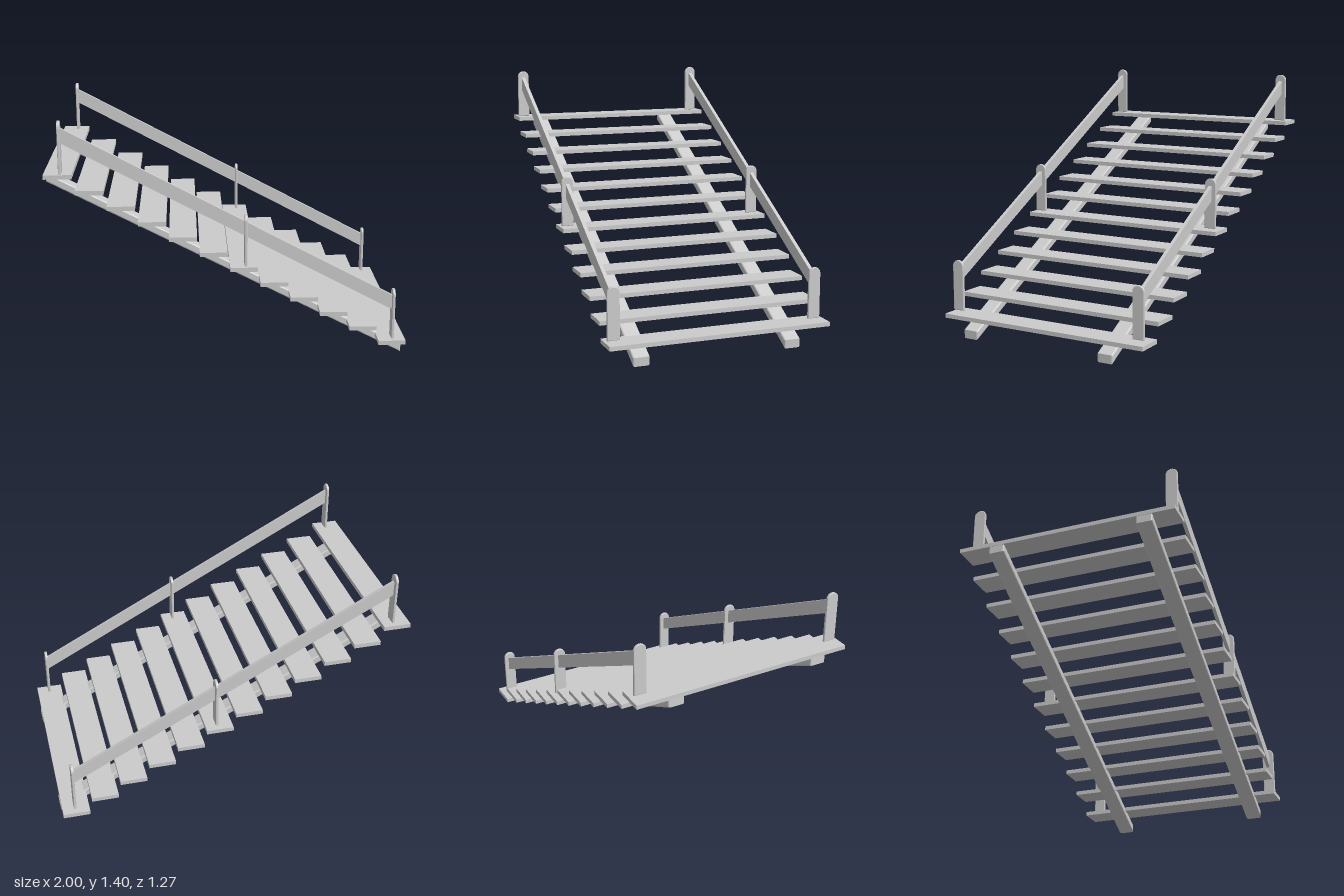
import * as THREE from 'three';

const material = new THREE.MeshStandardMaterial({ color: 0xcccccc });

function add(parent, name, geometry, x = 0, y = 0, z = 0) {
  const mesh = new THREE.Mesh(geometry, material);
  mesh.name = name;
  mesh.position.set(x, y, z);
  parent.add(mesh);
  return mesh;
}

// Sloped plank with plumb-cut ends: shape in x/y, thickness centred on z
function slopedPlank(x0, x1, yTop0, yTop1, height, width, bevel) {
  const h = height - bevel;
  const s = new THREE.Shape();
  s.moveTo(x0, yTop0 - h);
  s.lineTo(x1, yTop1 - h);
  s.lineTo(x1, yTop1 - bevel);
  s.lineTo(x0, yTop0 - bevel);
  s.closePath();
  const g = new THREE.ExtrudeGeometry(s, {
    depth: width - 2 * bevel, bevelEnabled: bevel > 0,
    bevelSize: bevel, bevelThickness: bevel, bevelSegments: 4,
  });
  g.translate(0, 0, bevel - width / 2);
  return g;
}

// Flat upright with a semicircular head and softened edges, facing x
function postGeometry() {
  const bevel = 0.004, r = 0.035 - bevel, height = 0.289, thick = 0.016;
  const s = new THREE.Shape();
  s.moveTo(-r, bevel);
  s.lineTo(r, bevel);
  s.lineTo(r, height - 0.035);
  s.absarc(0, height - 0.035, r, 0, Math.PI, false);
  s.closePath();
  const g = new THREE.ExtrudeGeometry(s, {
    depth: thick - 2 * bevel, curveSegments: 16,
    bevelSize: bevel, bevelThickness: bevel, bevelSegments: 2,
  });
  g.translate(0, 0, bevel - thick / 2);
  g.rotateY(Math.PI / 2);
  return g;
}

export function createModel() {
  const group = new THREE.Group();
  group.name = 'openStaircase';

  // Treads
  const treads = new THREE.Group();
  treads.name = 'treads';
  group.add(treads);
  const treadGeo = new THREE.BoxGeometry(0.154, 0.024, 1.272);
  for (let i = 0; i < 12; i++) {
    add(treads, 'tread', treadGeo, -0.923 + i * 1.846 / 11, 1.095 - i * 0.983 / 11, 0);
  }

  // Stringers under the treads
  const stringerGeo = slopedPlank(-0.99, 0.99, 1.085, 0.054, 0.051, 0.094, 0.01);
  for (const z of [0.461, -0.409]) add(group, 'stringer', stringerGeo, 0, 0, z);

  // Handrails, each carried by three posts
  const railGeo = slopedPlank(-0.91, 0.925, 1.36, 0.382, 0.083, 0.021, 0);
  const postGeo = postGeometry();
  for (const z of [0.591, -0.571]) {
    const side = new THREE.Group();
    side.name = z > 0 ? 'frontRailing' : 'backRailing';
    group.add(side);
    add(side, 'handrail', railGeo, 0, 0, z);
    for (const [x, y] of [[-0.91, 1.107], [0.095, 0.575], [0.927, 0.133]]) {
      add(side, 'post', postGeo, x, y, z);
    }
  }
  return group;
}
